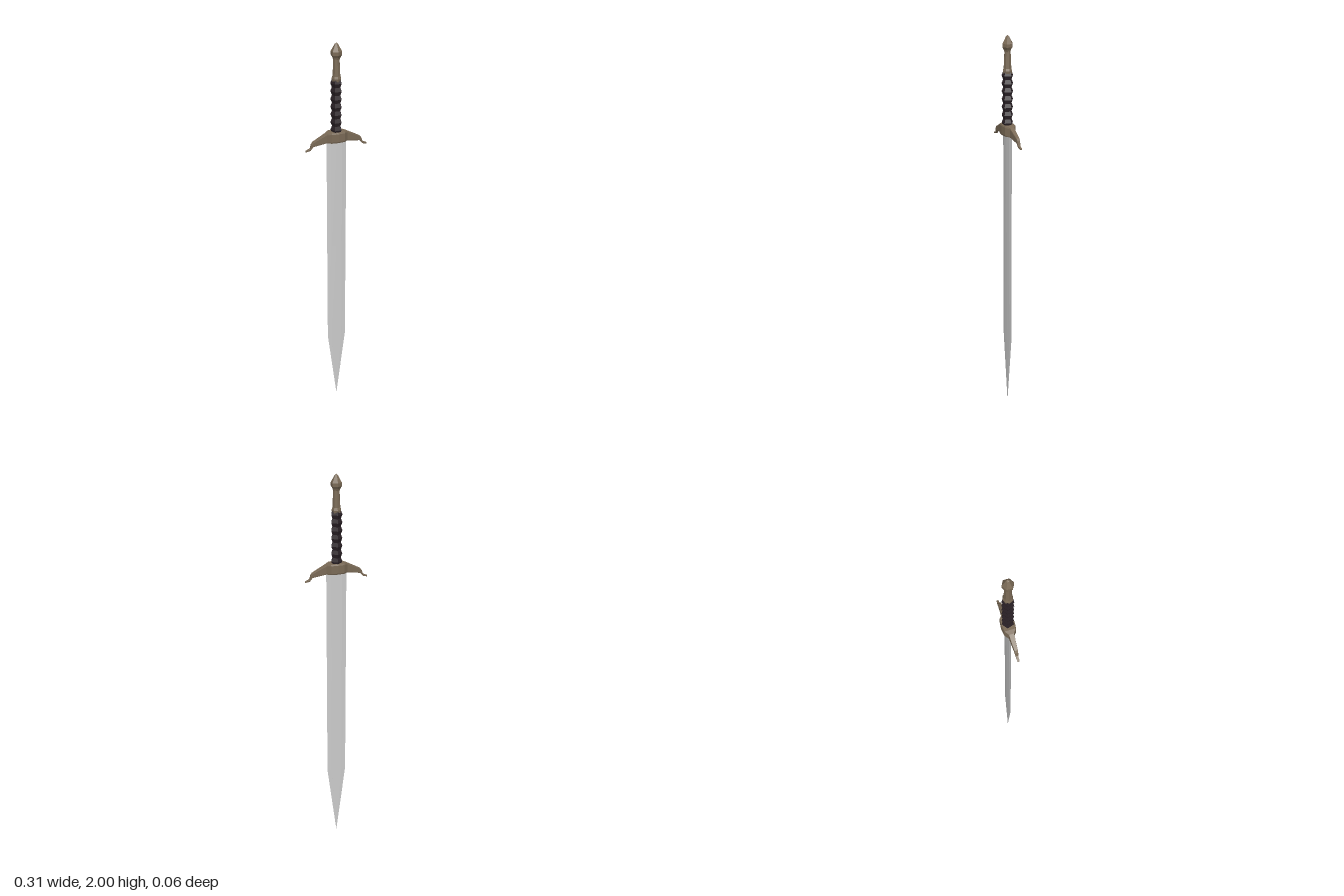
import * as THREE from 'three';

const bronze = new THREE.MeshStandardMaterial({ color: 0x7a6a56, flatShading: true });
const leather = new THREE.MeshStandardMaterial({ color: 0x2a2126, flatShading: true });
const steel = new THREE.MeshStandardMaterial({ color: 0xcccccc, flatShading: true });

// Skin a list of rings (same point count) and close both ends.
// Rings run counter-clockwise when seen from the end of the list.
function loft(rings) {
  const n = rings[0].length;
  const pos = rings.flat(2);
  const idx = [];
  for (let r = 0; r < rings.length - 1; r++) {
    for (let i = 0; i < n; i++) {
      const a = r * n + i, b = r * n + (i + 1) % n;
      idx.push(a, b, b + n, a, b + n, a + n);
    }
  }
  const last = (rings.length - 1) * n;
  for (let i = 1; i < n - 1; i++) {
    idx.push(0, i + 1, i, last, last + i, last + i + 1);
  }
  const g = new THREE.BufferGeometry();
  g.setAttribute('position', new THREE.Float32BufferAttribute(pos, 3));
  g.setIndex(idx);
  g.computeVertexNormals();
  return g;
}

// Turned part with one corner towards the back
function lathe(profile, sides) {
  return new THREE.LatheGeometry(profile.map(([r, y]) => new THREE.Vector2(r, y)), sides, Math.PI);
}

export function createModel() {
  const sword = new THREE.Group();
  const add = (name, geometry, material) => {
    const mesh = new THREE.Mesh(geometry, material);
    mesh.name = name;
    sword.add(mesh);
  };

  // Blade: thin ridged section, tapering to the point: [y, half width, half thickness]
  const bladeRings = [
    [0, 0.0005, 0.0003], [0.41, 0.05, 0.0025], [0.97, 0.05, 0.004], [1.56, 0.05, 0.006],
  ].map(([y, w, t]) => [
    [w, y, 0], [w * 0.55, y, -t * 0.8], [0, y, -t], [-w * 0.55, y, -t * 0.8],
    [-w, y, 0], [-w * 0.55, y, t * 0.8], [0, y, t], [w * 0.55, y, t * 0.8],
  ]);
  add('blade', loft(bladeRings), steel);

  // Crossguard: straight drooping arms with thin outward tips: [x, top, bottom, half depth]
  const half = [
    [0.033, 1.585, 1.535, 0.027], [0.052, 1.58, 1.535, 0.012],
    [0.118, 1.546, 1.524, 0.008], [0.126, 1.536, 1.513, 0.007],
    [0.132, 1.516, 1.506, 0.006], [0.154, 1.507, 1.501, 0.004],
  ];
  const stations = [
    ...half.map(([x, ...s]) => [-x, ...s]).reverse(), [0, 1.585, 1.535, 0.031], ...half,
  ];
  const guardRings = stations.map(([x, top, bottom, d]) => {
    const bevel = (top - bottom) * 0.12;
    return [
      [x, top, d * 0.92], [x, top - bevel, d], [x, bottom + bevel, d], [x, bottom, d * 0.92],
      [x, bottom, -d * 0.92], [x, bottom + bevel, -d], [x, top - bevel, -d], [x, top, -d * 0.92],
    ];
  });
  add('crossguard', loft(guardRings), bronze);

  // Grip: five-sided, with stacked wrapped ridges
  const ridges = 7, y0 = 1.575, y1 = 1.835;
  const gripProfile = [];
  for (let i = 0; i <= ridges * 2; i++) {
    gripProfile.push([i % 2 ? 0.028 : 0.021, y0 + (y1 - y0) * i / (ridges * 2)]);
  }
  add('grip', lathe(gripProfile, 5), leather);

  // Pommel: collar with slim neck, then a flared pointed bulb
  add('pommelNeck', lathe([
    [0, 1.825], [0.021, 1.825], [0.023, 1.838], [0.019, 1.85], [0.015, 1.93], [0, 1.93],
  ], 8), bronze);
  add('pommelBulb', lathe([
    [0, 1.922], [0.015, 1.924], [0.019, 1.935], [0.026, 1.946], [0.026, 1.961],
    [0.016, 1.979], [0.008, 1.993], [0, 2],
  ], 6), bronze);

  return sword;
}
